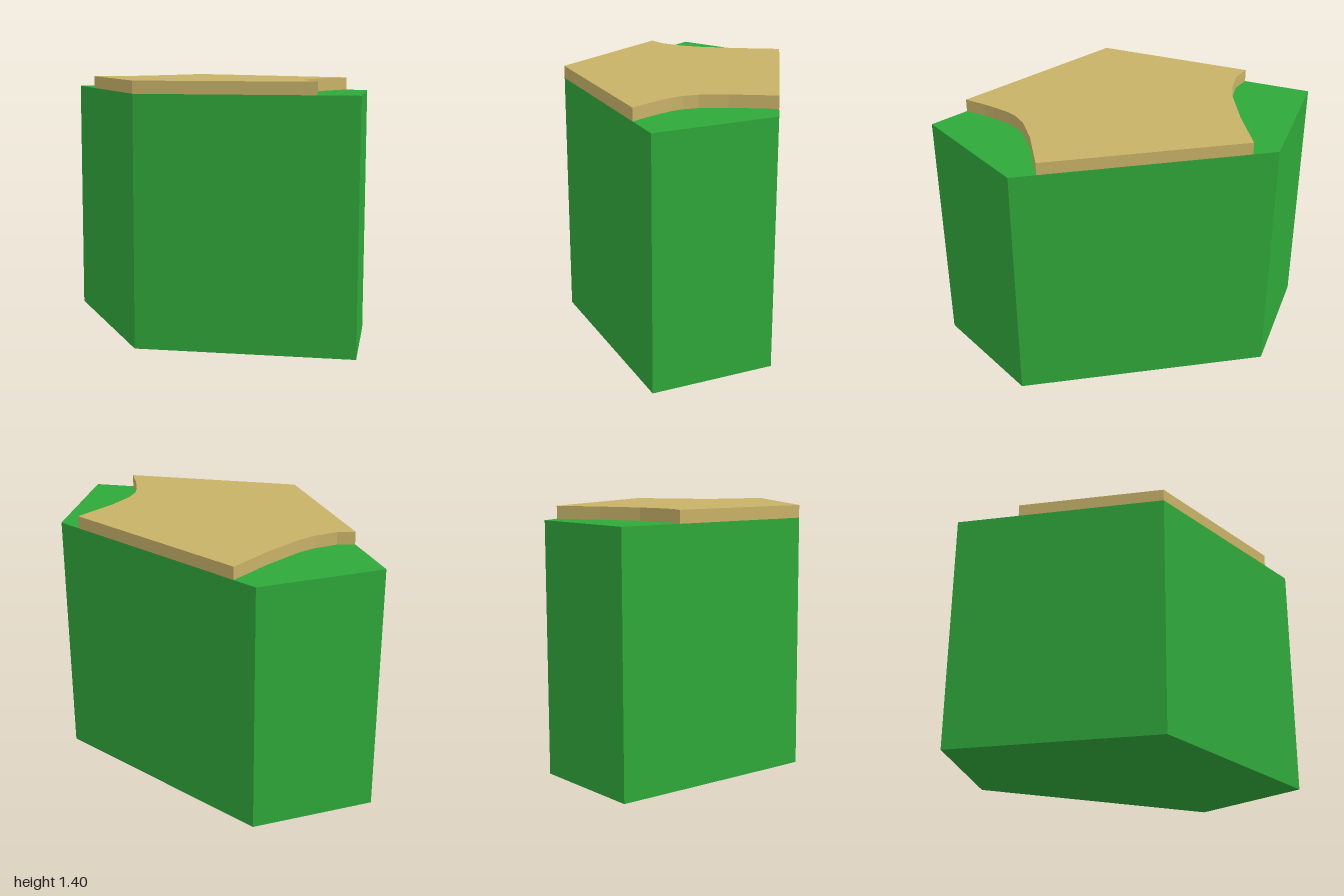
import * as THREE from 'three';

// Upright prism over an outline of [x, z] points
function prism(name, outline, y, height, color) {
  const shape = new THREE.Shape(outline.map(([x, z]) => new THREE.Vector2(x, -z)));
  const geometry = new THREE.ExtrudeGeometry(shape, { depth: height, bevelEnabled: false });
  geometry.rotateX(-Math.PI / 2);
  geometry.translate(0, y, 0);
  const mesh = new THREE.Mesh(geometry, new THREE.MeshStandardMaterial({ color, flatShading: true }));
  mesh.name = name;
  return mesh;
}

export function createModel() {
  const model = new THREE.Group();
  model.name = 'pathTile';
  const side = 0.577, blockHeight = 1.333, pathHeight = 0.067;

  // Five-sided grass block
  const block = [[-side, 0], [0, 1], [side, 0.667], [side, -0.667], [0, -1]];
  model.add(prism('grassBlock', block, 0, blockHeight, 0x2fa83a));

  // Raised path: curved front edge, straight side, curved back edge
  const path = [
    [-side, 0],
    [-0.107, 0.815], [-0.035, 0.72], [0.0, 0.68], [0.06, 0.617], [0.11, 0.58], [0.185, 0.55], [0.33, 0.531],
    [side, 0.531], [side, -0.533],
    [0.33, -0.533], [0.1, -0.551], [0, -0.577], [-0.11, -0.63], [-0.174, -0.698],
  ];
  model.add(prism('sandPath', path, blockHeight, pathHeight, 0xc8b268));

  return model;
}
